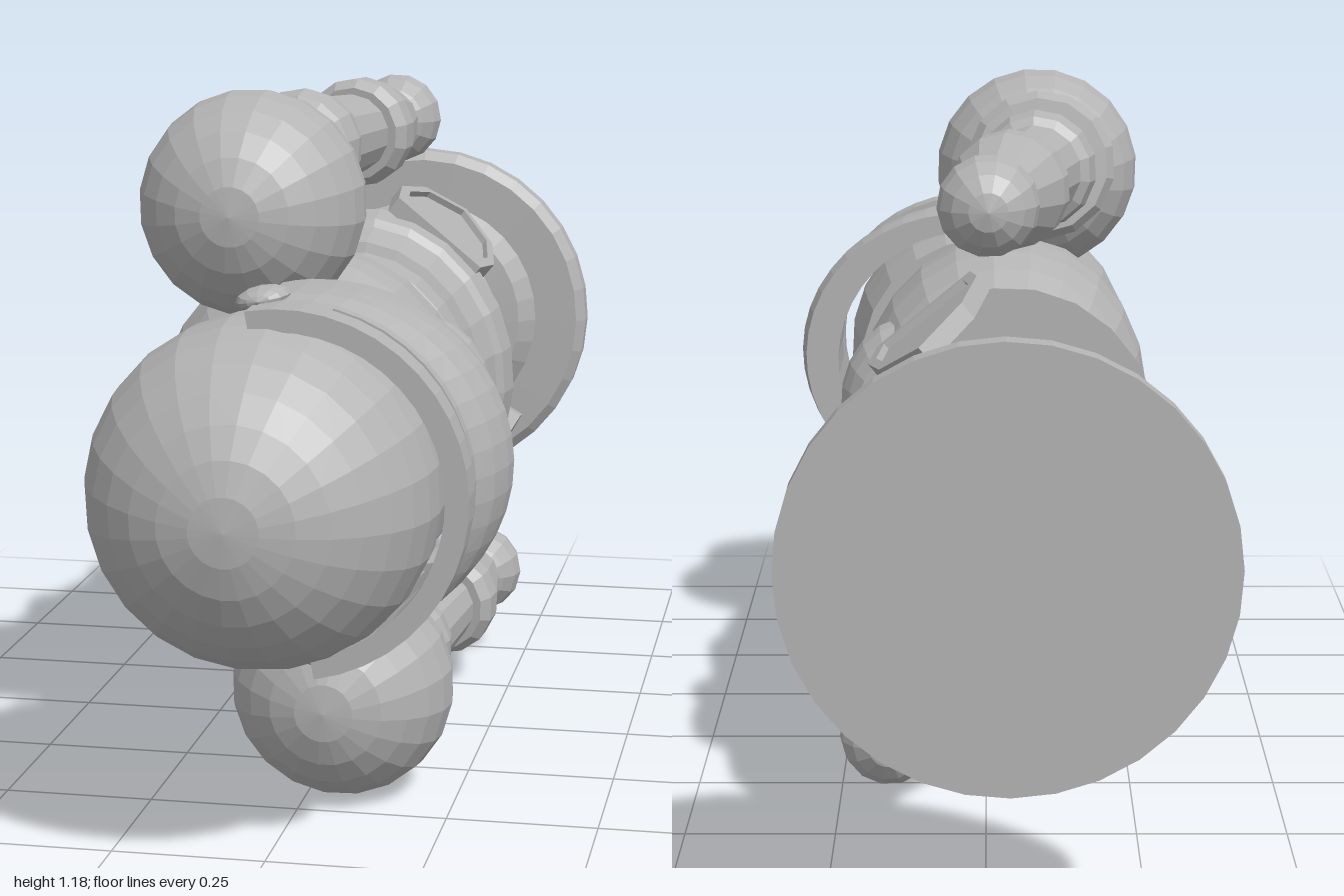
import * as THREE from 'three';

export function createModel() {
  const steel = new THREE.MeshStandardMaterial({ color: 0xb4b4b4, flatShading: true, side: THREE.DoubleSide });
  steel.name = 'grey steel';
  const figure = new THREE.Group();
  figure.name = 'armouredFigure';

  const add = (name, geometry, parent = figure) => {
    const mesh = new THREE.Mesh(geometry, steel);
    mesh.name = name;
    parent.add(mesh);
    return mesh;
  };
  const points = (list) => list.map(([x, y]) => new THREE.Vector2(x, y));
  const lathe = (list, sides = 24) => new THREE.LatheGeometry(points(list), sides);
  const ball = (name, pos, radii, sides = 20, parent = figure) => {
    const mesh = add(name, new THREE.SphereGeometry(1, sides, Math.round(sides * 0.6)), parent);
    mesh.position.set(...pos);
    mesh.scale.set(...radii);
    return mesh;
  };

  // Display stand: round foot, pole and collar
  add('standFoot', lathe([[0, -1], [0.343, -1], [0.343, -0.96], [0.325, -0.942], [0.24, -0.94], [0.21, -0.9],
    [0.165, -0.895], [0.15, -0.875], [0.1, -0.855], [0.07, -0.825], [0.047, -0.81], [0, -0.81]], 32)).position.z = -0.018;
  add('standPole', lathe([[0.047, -0.82], [0.047, -0.33]], 12)).position.z = -0.018;
  add('standCollar', lathe([[0.047, -0.67], [0.066, -0.662], [0.077, -0.65], [0.077, -0.625], [0.066, -0.612], [0.047, -0.605]], 12))
    .position.z = -0.018;

  // Torso, waist bands and flared skirt, slightly flattened front to back
  const torso = new THREE.Group();
  torso.name = 'torso';
  torso.scale.z = 0.88;
  torso.position.z = -0.012;
  figure.add(torso);
  add('breastplate', lathe([[0.222, -0.13], [0.228, -0.08], [0.245, -0.03], [0.275, 0.03], [0.295, 0.1], [0.303, 0.18],
    [0.3, 0.25], [0.275, 0.32], [0.23, 0.385], [0, 0.39]]), torso);
  add('skirtBands', lathe([[0, -0.34], [0.305, -0.34], [0.295, -0.28], [0.28, -0.27], [0.262, -0.2], [0.243, -0.195],
    [0.238, -0.135], [0.225, -0.12], [0.2, -0.12]]), torso);
  add('neck', lathe([[0.2, 0.37], [0.2, 0.39], [0.21, 0.41], [0.2, 0.44], [0.2, 0.47], [0.215, 0.475], [0.215, 0.52]]), torso);
  ball('belly', [0, 0.083, 0.165], [0.145, 0.125, 0.115]);

  // Domed helmet
  const dome = [[0, 0.5], [0.25, 0.5], [0.265, 0.58], [0.275, 0.66]];
  for (let i = 0; i <= 8; i++) {
    const a = (i / 8) * Math.PI / 2;
    dome.push([0.277 * Math.cos(a), 0.72 + 0.28 * Math.sin(a)]);
  }
  add('helmet', lathe(dome)).position.z = 0.01;

  // Visor: half rings from closed profiles, the sides pulled in to fit the helmet
  const visor = new THREE.Group();
  visor.name = 'visor';
  visor.position.z = 0.05;
  figure.add(visor);
  const halfRing = (name, profile, start = -Math.PI / 2, length = Math.PI) => {
    const fit = (g) => {
      const p = g.attributes.position;
      for (let i = 0; i < p.count; i++) {
        const r = Math.hypot(p.getX(i), p.getZ(i));
        if (r > 0.29) p.setX(i, p.getX(i) * 0.29 / r);
      }
      g.computeVertexNormals();
      return g;
    };
    add(name, fit(new THREE.LatheGeometry(points([...profile, profile[0]]), Math.max(3, Math.round(length * 7)), start, length)), visor);
    for (const end of [start, start + length]) {
      const cap = new THREE.ShapeGeometry(new THREE.Shape(points(profile)));
      cap.rotateY(end - Math.PI / 2);
      add(name + 'End', fit(cap), visor);
    }
  };
  halfRing('visorGuard', [[0.255, 0.495], [0.318, 0.495], [0.328, 0.54], [0.325, 0.58], [0.31, 0.63], [0.285, 0.665],
    [0.285, 0.692], [0.255, 0.692]]);
  halfRing('visorBrow', [[0.255, 0.73], [0.292, 0.73], [0.292, 0.787], [0.255, 0.787]]);
  // solid cheeks at both ends of the eye slit
  const cheek = [[0.255, 0.69], [0.285, 0.69], [0.285, 0.732], [0.255, 0.732]];
  halfRing('visorCheek', cheek, -Math.PI / 2, 0.42);
  halfRing('visorCheek', cheek, Math.PI / 2 - 0.42, 0.42);

  // Hip plate outline, hanging to a point
  const leaf = (k) => {
    const s = new THREE.Shape();
    s.moveTo(-0.1 * k, -0.15 + 0.17 * k);
    s.lineTo(0.1 * k, -0.15 + 0.17 * k);
    s.lineTo(0.115 * k, -0.15 + 0.07 * k);
    s.lineTo(0.085 * k, -0.15 - 0.07 * k);
    s.lineTo(0, -0.15 - 0.165 * k);
    s.lineTo(-0.085 * k, -0.15 - 0.07 * k);
    s.lineTo(-0.115 * k, -0.15 + 0.07 * k);
    s.closePath();
    return s;
  };
  const extrude = (shape, depth) => new THREE.ExtrudeGeometry(shape, { depth, bevelEnabled: false });

  // Arm piece: a lathe profile of [radius, fraction] stretched between two points
  const limb = (name, a, b, profile, parent) => {
    const from = new THREE.Vector3(...a), dir = new THREE.Vector3(...b).sub(from), len = dir.length();
    const mesh = add(name, lathe(profile.map(([r, t]) => [r, t * len]), 14), parent);
    mesh.position.copy(from);
    mesh.quaternion.setFromUnitVectors(new THREE.Vector3(0, 1, 0), dir.normalize());
  };

  for (const side of [1, -1]) {
    const prefix = side > 0 ? 'upper' : 'lower';
    ball(prefix + 'VisorBolt', [side * 0.288, 0.645, 0.048], [0.02, 0.044, 0.044], 12);

    // Arm, hanging beside the body and swinging a little forward
    const arm = new THREE.Group();
    arm.name = prefix + 'Arm';
    figure.add(arm);
    ball('shoulder', [side * 0.411, 0.38, -0.005], [0.187, 0.183, 0.187], 20, arm);
    limb('shoulderCuff', [side * 0.443, 0.178, -0.003], [side * 0.432, 0.272, -0.005],
      [[0.08, 0], [0.122, 0.02], [0.136, 0.25], [0.136, 0.7], [0.122, 1], [0, 1]], arm);
    limb('upperArm', [side * 0.459, 0, 0.008], [side * 0.443, 0.2, -0.003], [[0.08, 0], [0.092, 1]], arm);
    limb('elbow', [side * 0.459, -0.055, 0.014], [side * 0.458, 0.055, 0.004],
      [[0.075, 0], [0.096, 0.12], [0.104, 0.5], [0.096, 0.88], [0.075, 1]], arm);
    limb('forearm', [side * 0.45, -0.26, 0.058], [side * 0.459, -0.03, 0.012], [[0.07, 0], [0.083, 1]], arm);
    limb('gauntlet', [side * 0.448, -0.43, 0.084], [side * 0.45, -0.225, 0.053],
      [[0.06, 0], [0.07, 0.2], [0.098, 0.68], [0.1, 0.9], [0.085, 1], [0, 1]], arm);
    ball('hand', [side * 0.448, -0.478, 0.094], [0.083, 0.083, 0.083], 14, arm);

    // Hip plate with a raised border
    const plate = new THREE.Group();
    plate.name = prefix + 'HipPlate';
    plate.position.set(side * 0.215, -0.335, 0.14);
    plate.rotation.y = side * 0.7;
    figure.add(plate);
    add('plate', extrude(leaf(1), 0.02), plate);
    const border = leaf(1);
    border.holes.push(leaf(0.84));
    add('border', extrude(border, 0.012), plate).position.z = 0.02;
  }

  // Lay the figure down: head to +z, chest to +x with a small roll
  const roll = 0.183, model = new THREE.Group();
  figure.applyMatrix4(new THREE.Matrix4().makeBasis(
    new THREE.Vector3(-Math.sin(roll), Math.cos(roll), 0),
    new THREE.Vector3(0, 0, 1),
    new THREE.Vector3(Math.cos(roll), Math.sin(roll), 0)
  ).setPosition(-0.015, 0.597, 0));
  model.name = 'model';
  model.add(figure);
  return model;
}
